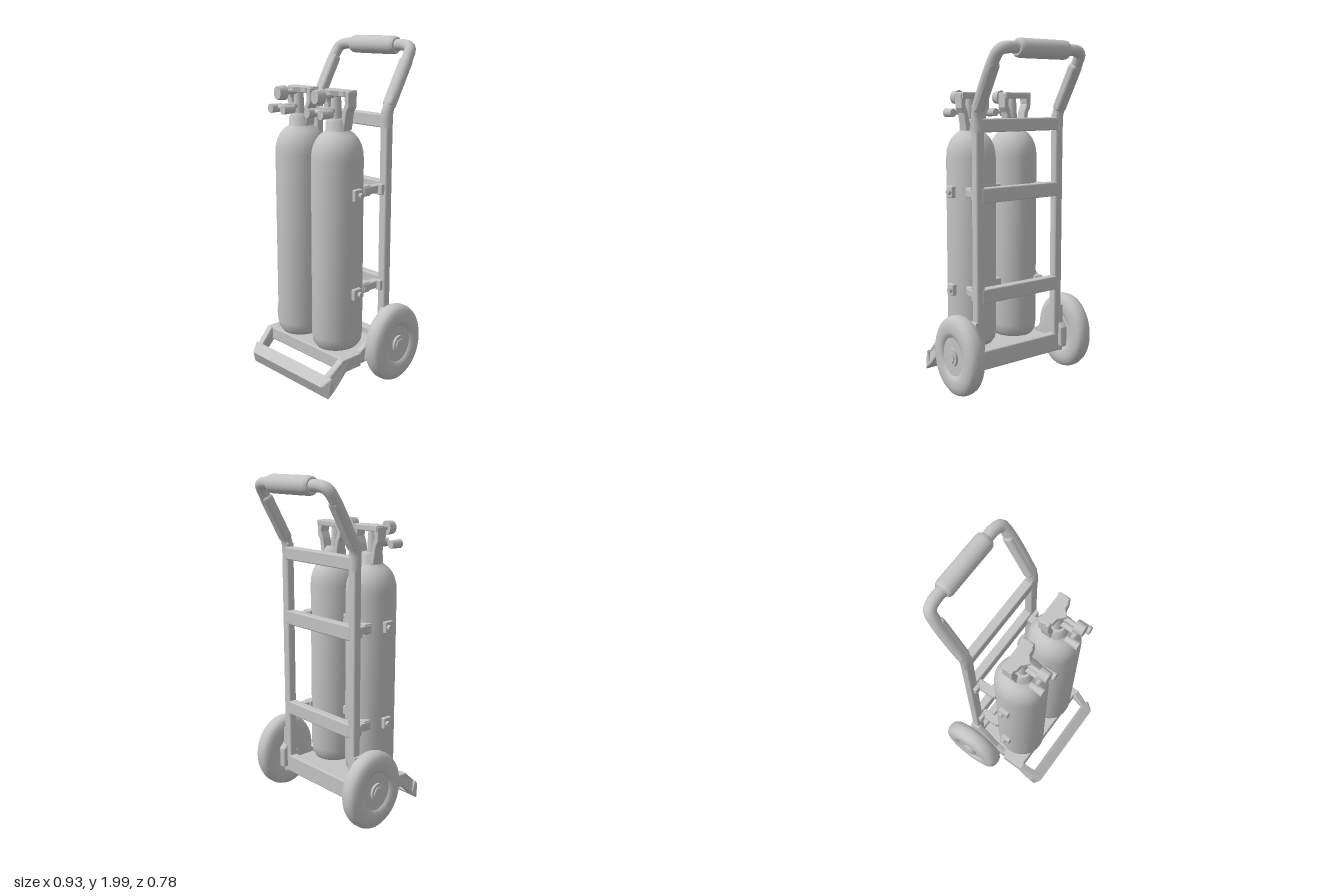
import * as THREE from 'three';
import { toCreasedNormals } from 'three/addons/utils/BufferGeometryUtils.js';
import { RoundedBoxGeometry } from 'three/addons/geometries/RoundedBoxGeometry.js';

const grey = new THREE.MeshStandardMaterial({ color: 0xc4c4c4 });
grey.name = 'light grey';

const v2 = (list) => list.map(([a, b]) => new THREE.Vector2(a, b));
const v3 = (list) => list.map(([a, b, c]) => new THREE.Vector3(a, b, c));

function add(parent, name, geo, x = 0, y = 0, z = 0) {
  const m = new THREE.Mesh(geo, grey);
  m.name = name;
  m.position.set(x, y, z);
  parent.add(m);
  return m;
}

const rbox = (w, h, d, r = 0.008) => new RoundedBoxGeometry(w, h, d, 3, r);
const lathe = (pts, seg = 40, crease = 0.6) => toCreasedNormals(new THREE.LatheGeometry(v2(pts), seg), crease);

// cylinder along x or z
const rodX = (r, len, seg = 20) => new THREE.CylinderGeometry(r, r, len, seg).rotateZ(Math.PI / 2);
const rodZ = (r0, r1, len, seg = 20) => new THREE.CylinderGeometry(r1, r0, len, seg).rotateX(Math.PI / 2);

function extrude(shape, depth, bevel) {
  const g = new THREE.ExtrudeGeometry(shape, {
    depth: depth - 2 * bevel, bevelEnabled: true, bevelThickness: bevel,
    bevelSize: bevel, bevelOffset: -bevel, bevelSegments: 2, curveSegments: 10,
  });
  return g.translate(0, 0, bevel - depth / 2);
}

// side profile given as (z, y), extruded along x and centred at x
const sideProfile = (pts, width, x = 0, bevel = 0.007) =>
  extrude(new THREE.Shape(v2(pts.map(([z, y]) => [-z, y]))), width, bevel).rotateY(Math.PI / 2).translate(x, 0, 0);

// pull the sides inward toward the nose tip to chamfer its corners
function chamferNose(geo) {
  const p = geo.attributes.position;
  for (let i = 0; i < p.count; i++)
    p.setX(i, p.getX(i) - Math.sign(p.getX(i)) * Math.max(0, p.getZ(i) - 0.35) * 0.8);
  geo.computeVertexNormals();
  return geo;
}

function buildFrame(root) {
  const frame = new THREE.Group();
  frame.name = 'frame';
  root.add(frame);

  for (const s of [-1, 1]) {
    add(frame, 'upright', rbox(0.056, 1.46, 0.053, 0.012), s * 0.289, 0.87, -0.142);
    // gusset joining upright, deck and axle
    add(frame, 'gusset', sideProfile([[-0.17, 0.14], [0.1, 0.14], [0.09, 0.215], [0.03, 0.25],
      [-0.05, 0.36], [-0.11, 0.43], [-0.17, 0.43]], 0.035, s * 0.313));
    add(frame, 'axleHousing', sideProfile([[-0.195, 0.17], [0.06, 0.15], [0.055, 0.21], [-0.03, 0.31],
      [-0.16, 0.33], [-0.195, 0.29]], 0.05, s * 0.32, 0.012));
    add(frame, 'noseArm', chamferNose(sideProfile([[0.2, 0.215], [0.245, 0.215], [0.39, 0.09], [0.355, 0.012],
      [0.29, 0.065], [0.22, 0.135], [0.1, 0.135], [0.1, 0.215]], 0.042, s * 0.322)));
  }
  for (const [y, h] of [[1.537, 0.075], [1.15, 0.085], [0.575, 0.085], [0.2, 0.11]])
    add(frame, 'crossbar', rbox(0.56, h, 0.052), 0, y, -0.145);

  // deck plate, wider toward the front
  const plan = new THREE.Shape(v2([[-0.325, -0.08], [-0.325, -0.24], [0.325, -0.24], [0.325, -0.08],
    [0.295, 0.16], [-0.295, 0.16]]));
  add(frame, 'deck', extrude(plan, 0.08, 0.008).rotateX(-Math.PI / 2), 0, 0.176, 0);
  add(frame, 'noseBar', chamferNose(sideProfile([[0.335, 0.136], [0.39, 0.09], [0.355, 0.012], [0.308, 0.05]], 0.686)));

  // bent handle loop and grip
  const half = [[0.29, 1.5, -0.142], [0.294, 1.6, -0.145], [0.3, 1.67, -0.178], [0.298, 1.88, -0.297],
    [0.285, 1.932, -0.33], [0.245, 1.947, -0.34]];
  const mirrored = half.map(([x, y, z]) => [-x, y, z]).reverse();
  const curve = new THREE.CatmullRomCurve3(v3([...half, [0.12, 1.947, -0.34], [-0.12, 1.947, -0.34], ...mirrored]),
    false, 'centripetal');
  add(frame, 'handle', new THREE.TubeGeometry(curve, 120, 0.033, 14));
  const grip = lathe([[0, -0.177], [0.042, -0.177], [0.05, -0.168], [0.053, -0.15], [0.053, 0.15],
    [0.05, 0.168], [0.042, 0.177], [0, 0.177]], 28);
  add(frame, 'grip', grip.rotateZ(Math.PI / 2), 0, 1.947, -0.34);
  for (const s of [-1, 1]) {
    const sleeve = add(frame, 'handleSleeve', rbox(0.07, 0.3, 0.062, 0.02), s * 0.294, 1.745, -0.221);
    sleeve.rotation.x = -0.515;
  }
}

function buildWheel(root, s) {
  const wheel = new THREE.Group();
  wheel.name = s > 0 ? 'leftWheel' : 'rightWheel';
  wheel.position.set(s * 0.4, 0.243, -0.107);
  root.add(wheel);
  // tyre is slightly taller than long
  const half = [[0, 0.042], [0.098, 0.042], [0.104, 0.05], [0.125, 0.056], [0.155, 0.055],
    [0.18, 0.049], [0.195, 0.035], [0.202, 0.014]];
  const profile = [...half.map(([r, y]) => [r, -y]), ...[...half].reverse()];
  add(wheel, 'tyre', lathe(profile, 48, 0.7).rotateZ(Math.PI / 2).scale(1, 1.15, 1));
  add(wheel, 'hub', rodX(0.048, 0.02, 24).scale(1, 1.12, 1), s * 0.046, 0, 0);
  add(wheel, 'axleNut', rodX(0.036, 0.03, 6), s * 0.048, 0, 0);
  add(wheel, 'axleStub', rodX(0.03, 0.13), -s * 0.06, 0, 0);
}

function buildTank(root, x) {
  const tank = new THREE.Group();
  tank.name = x > 0 ? 'leftTank' : 'rightTank';
  tank.position.set(x, 0, 0.114);
  root.add(tank);

  // bottle with rounded base, dome and collar
  const body = lathe([[0, 0.215], [0.09, 0.217], [0.118, 0.228], [0.136, 0.255], [0.142, 0.3], [0.142, 1.34],
    [0.139, 1.38], [0.13, 1.415], [0.115, 1.447], [0.093, 1.475], [0.068, 1.494], [0.064, 1.5], [0.062, 1.545],
    [0.05, 1.565], [0, 1.565]], 48, 0.8);
  add(tank, 'bottle', body.scale(1, 1, 1.08));

  // valve guard: top plate on two flared legs
  const outline = new THREE.Shape(v2([[-0.065, 1.5], [0.065, 1.5], [0.082, 1.6], [0.1, 1.63], [0.1, 1.71],
    [0.09, 1.72], [-0.09, 1.72], [-0.1, 1.71], [-0.1, 1.63], [-0.082, 1.6]]));
  outline.holes.push(new THREE.Path(v2([[-0.04, 1.55], [-0.055, 1.61], [-0.07, 1.65], [-0.065, 1.685],
    [0.065, 1.685], [0.07, 1.65], [0.055, 1.61], [0.04, 1.55]])));
  add(tank, 'valveGuard', extrude(outline, 0.065, 0.006), 0, 0, -0.018);
  const brow = new THREE.Shape(v2([[-0.1, 0.01], [-0.07, -0.022], [-0.035, -0.026], [0, -0.06], [0.035, -0.026],
    [0.07, -0.022], [0.1, 0.01], [0.094, 0.058], [0.055, 0.046], [-0.055, 0.046], [-0.094, 0.058]]));
  add(tank, 'guardTop', extrude(brow, 0.035, 0.005).rotateX(-Math.PI / 2), 0, 1.702, 0);

  // valve body, gauge and twin outlets
  add(tank, 'valveStem', new THREE.CylinderGeometry(0.026, 0.034, 0.16, 16), 0, 1.62, 0.01);
  add(tank, 'gaugeStem', rodZ(0.014, 0.014, 0.14, 12), 0, 1.69, 0.07);
  add(tank, 'gauge', rodZ(0.034, 0.03, 0.055, 24).scale(1, 1.25, 1), 0, 1.69, 0.143);
  add(tank, 'outletStem', rodZ(0.018, 0.018, 0.11, 12), 0, 1.61, 0.06);
  add(tank, 'outletBar', rodX(0.015, 0.12, 12), 0, 1.605, 0.125);
  for (const s of [-1, 1])
    add(tank, 'outletKnob', rodZ(0.021, 0.023, 0.08, 16).scale(1, 1.15, 1), s * 0.054, 1.6, 0.138);
}

function buildClamps(root, y) {
  const clamps = new THREE.Group();
  clamps.name = 'tankClamps';
  clamps.position.y = y;
  root.add(clamps);
  for (const s of [-1, 1]) {
    // outer latch plate and bolt
    add(clamps, 'latch', rbox(0.03, 0.068, 0.06, 0.006), s * 0.305, 0, 0.105);
    add(clamps, 'latchBolt', rodX(0.016, 0.022, 12), s * 0.327, 0, 0.095);
    // arm reaching from the upright to the bottle
    add(clamps, 'clampArm', rbox(0.05, 0.045, 0.13, 0.006), s * 0.25, 0, -0.06);
    add(clamps, 'clampBlock', rbox(0.06, 0.062, 0.055, 0.006), s * 0.24, 0, -0.015);
    add(clamps, 'clampLip', rbox(0.04, 0.062, 0.025, 0.005), s * 0.285, 0, -0.105);
  }
  // saddle between the bottles
  add(clamps, 'saddle', rbox(0.06, 0.06, 0.05, 0.008), 0, 0, 0.085);
}

export function createModel() {
  const root = new THREE.Group();
  root.name = 'gasBottleTrolley';
  buildFrame(root);
  for (const s of [-1, 1]) {
    buildWheel(root, s);
    buildTank(root, s * 0.156);
  }
  for (const y of [1.15, 0.57]) buildClamps(root, y);
  return root;
}
